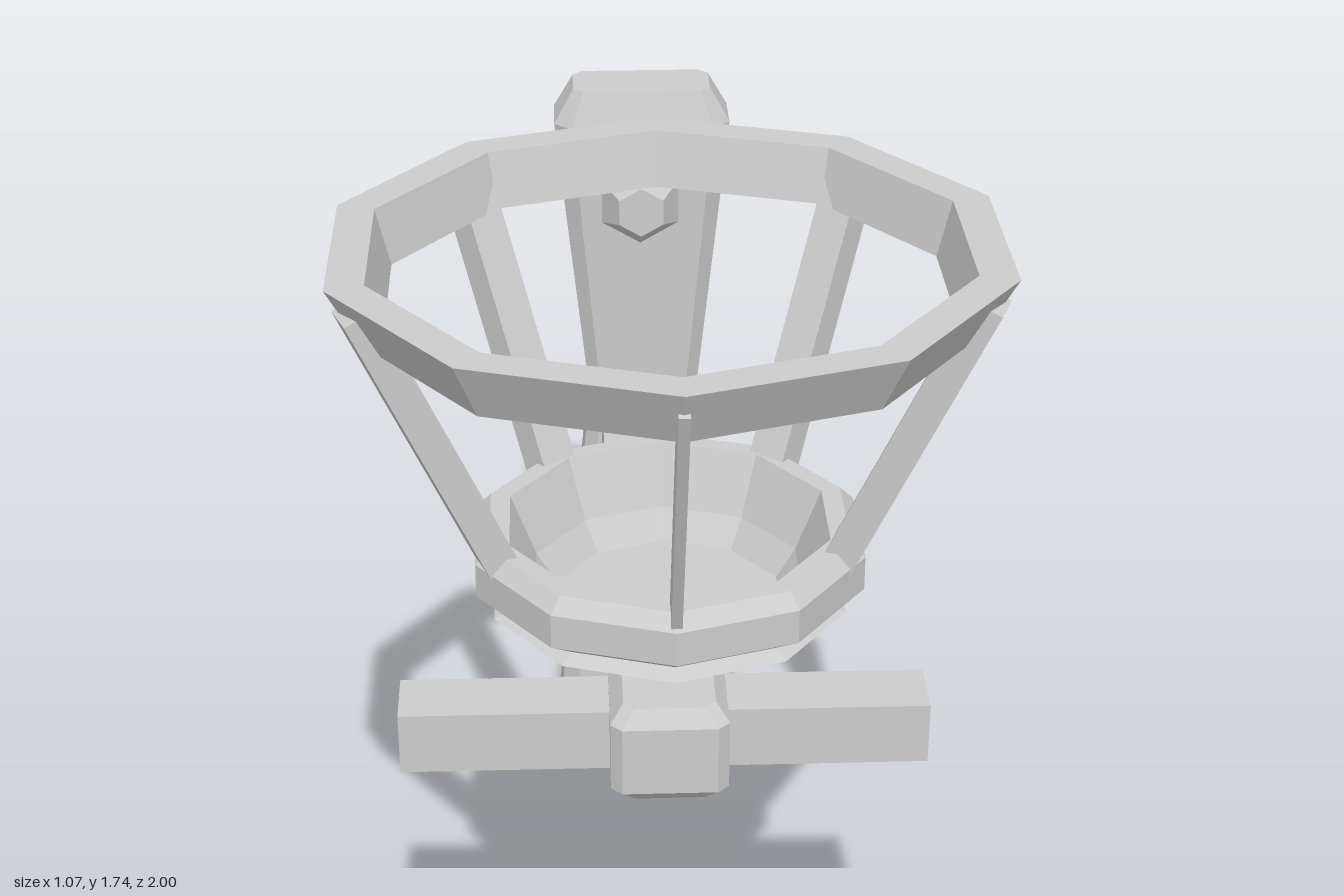
import * as THREE from 'three';

const material = new THREE.MeshStandardMaterial({ color: 0xcccccc, flatShading: true, side: THREE.DoubleSide });

function addMesh(parent, name, geometry, x = 0, y = 0, z = 0) {
  const mesh = new THREE.Mesh(geometry, material);
  mesh.name = name;
  mesh.position.set(x, y, z);
  parent.add(mesh);
  return mesh;
}

// Loft through chamfered rectangles; each section is [y, halfWidth, halfDepth, chamfer]
function chamferedLoft(sections) {
  const positions = [], index = [];
  for (const [y, w, d, c] of sections) {
    const loop = [
      [w, d - c], [w, c - d], [w - c, -d], [c - w, -d],
      [-w, c - d], [-w, d - c], [c - w, d], [w - c, d],
    ];
    for (const [x, z] of loop) positions.push(x, y, z);
  }
  const last = (sections.length - 1) * 8;
  for (let s = 0; s < last; s += 8) {
    for (let i = 0; i < 8; i++) {
      const a = s + i, b = s + (i + 1) % 8;
      index.push(a, b, b + 8, a, b + 8, a + 8);
    }
  }
  for (let i = 1; i < 7; i++) {
    index.push(0, i + 1, i);
    index.push(last, last + i, last + i + 1);
  }
  const geometry = new THREE.BufferGeometry();
  geometry.setAttribute('position', new THREE.Float32BufferAttribute(positions, 3));
  geometry.setIndex(index);
  geometry.computeVertexNormals();
  return geometry;
}

// Ten-sided turned part
function turned(profile) {
  return new THREE.LatheGeometry(profile.map(([r, y]) => new THREE.Vector2(r, y)), 10);
}

export function createModel() {
  const model = new THREE.Group();
  model.name = 'wallTorchHolder';

  // Waisted wall plate with chamfered ends
  addMesh(model, 'wallPlate', chamferedLoft([
    [0, 0.15, 0.065, 0.02],
    [0.06, 0.19, 0.09, 0.035],
    [0.85, 0.115, 0.075, 0.025],
    [1.46, 0.18, 0.09, 0.035],
    [1.53, 0.14, 0.065, 0.02],
  ]), 0, 0, -0.91);

  // Horizontal arm, crossbar and the block where they meet
  addMesh(model, 'arm', new THREE.BoxGeometry(0.17, 0.13, 1.22), -0.005, 0.817, -0.25);
  addMesh(model, 'crossbar', new THREE.BoxGeometry(0.925, 0.115, 0.12), -0.007, 0.823, 0.42);
  addMesh(model, 'joint', chamferedLoft([
    [0.73, 0.08, 0.085, 0.02],
    [0.755, 0.103, 0.108, 0.02],
    [0.885, 0.103, 0.108, 0.02],
    [0.915, 0.08, 0.085, 0.02],
  ]), 0, 0, 0.44);

  // Diagonal brace, profile drawn in the z-y plane
  const brace = new THREE.Shape();
  brace.moveTo(0.14, 0.76);
  brace.lineTo(0.36, 0.76);
  brace.lineTo(0.84, 0.345);
  brace.lineTo(0.84, 0.155);
  brace.closePath();
  const braceGeometry = new THREE.ExtrudeGeometry(brace, { depth: 0.08, bevelEnabled: false });
  braceGeometry.rotateY(Math.PI / 2);
  addMesh(model, 'brace', braceGeometry, -0.045, 0, 0);

  // Faceted bolts on the plate
  for (const [name, y, radius] of [['upperBolt', 1.3, 0.095], ['lowerBolt', 0.3, 0.115]]) {
    const bolt = new THREE.CylinderGeometry(radius * 0.55, radius, 0.07, 6);
    bolt.rotateX(Math.PI / 2);
    addMesh(model, name, bolt, -0.005, y, -0.795);
  }

  // Fire basket
  const basket = new THREE.Group();
  basket.name = 'basket';
  basket.position.z = 0.43;
  model.add(basket);

  addMesh(basket, 'topRing', turned([
    [0.51, 1.635], [0.565, 1.735], [0.5, 1.735], [0.475, 1.64], [0.51, 1.635],
  ]));
  addMesh(basket, 'collar', turned([
    [0.27, 1.105], [0.34, 1.15], [0.34, 1.21], [0.315, 1.235], [0.28, 1.235],
    [0.235, 1.13], [0.27, 1.105],
  ]));
  addMesh(basket, 'cupBase', turned([
    [0, 1.0], [0.05, 1.0], [0.15, 1.035], [0.31, 1.1], [0.235, 1.13], [0.2, 1.08], [0, 1.08],
  ]));

  // Leaning struts; the front one is a thin blade
  const lean = Math.atan2(0.24, 0.53);
  for (const angle of [0, 70, 140, -140, -70]) {
    const strut = new THREE.BoxGeometry(angle === 0 ? 0.018 : 0.07, 0.58, 0.055);
    strut.rotateX(lean);
    strut.translate(0, 1.44, 0.405);
    strut.rotateY(THREE.MathUtils.degToRad(angle));
    addMesh(basket, 'strut', strut);
  }

  return model;
}
